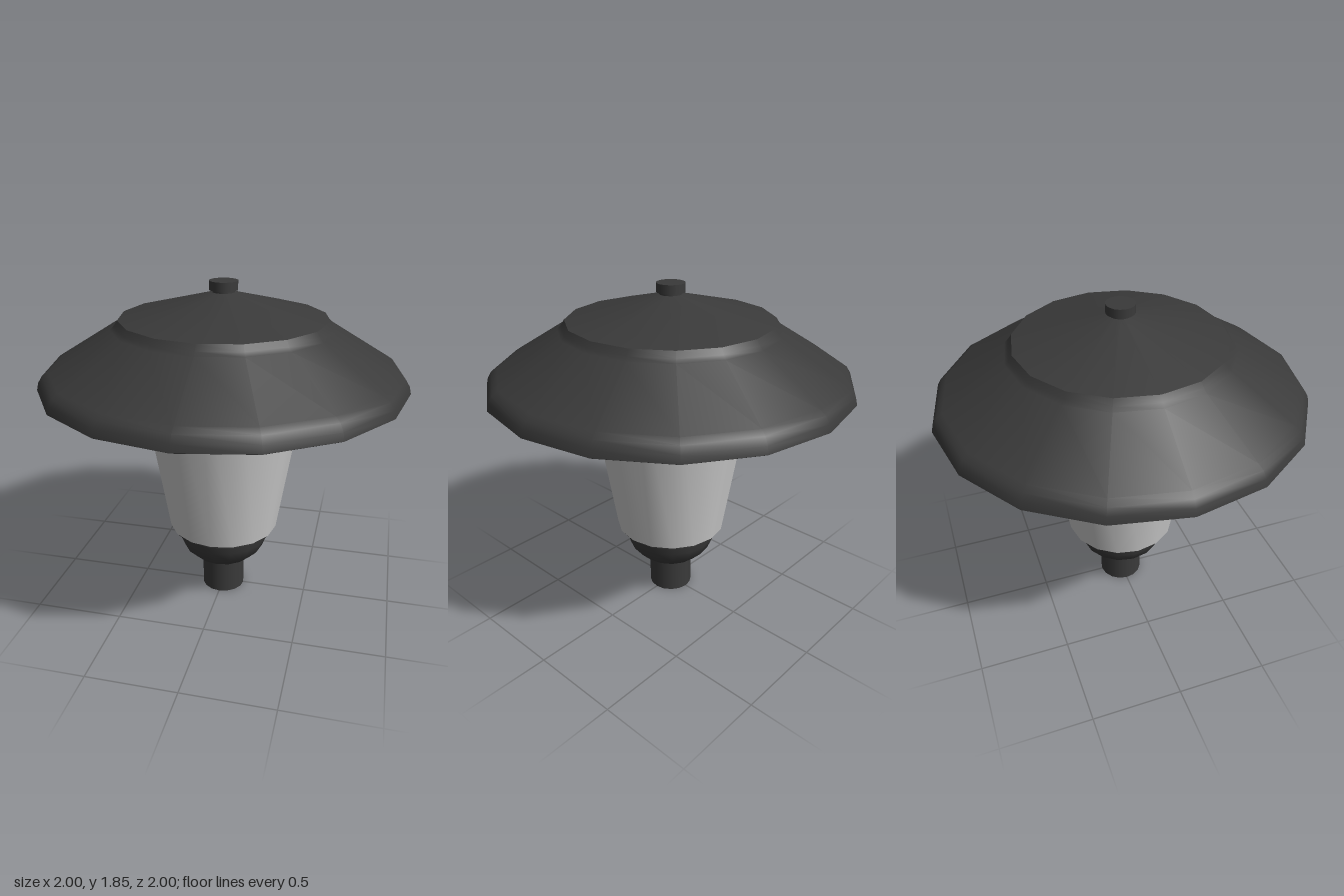
import * as THREE from 'three';

const SIDES = 16;

function makeMaterial(name, color, side = THREE.FrontSide) {
  const m = new THREE.MeshStandardMaterial({ color, side });
  m.name = name;
  return m;
}

export function createModel() {
  const lamp = new THREE.Group();
  lamp.name = 'lampHead';
  const metal = makeMaterial('darkMetal', 0x3a3a3a);
  const glass = makeMaterial('frostedGlass', 0xcccccc, THREE.DoubleSide);
  const white = makeMaterial('whiteLining', 0xdedede);

  // Spins a profile of [radius, height] points; runs upward for an outer skin
  function turn(name, profile, material) {
    const points = profile.map(([r, y]) => new THREE.Vector2(r, y));
    const mesh = new THREE.Mesh(new THREE.LatheGeometry(points, SIDES), material);
    mesh.name = name;
    lamp.add(mesh);
  }

  function disc(name, radius, y0, y1, material) {
    const mesh = new THREE.Mesh(new THREE.CylinderGeometry(radius, radius, y1 - y0, SIDES), material);
    mesh.position.y = (y0 + y1) / 2;
    mesh.name = name;
    lamp.add(mesh);
  }

  // Mounting socket, bowl and glass seat
  disc('socket', 0.125, 0, 0.21, metal);
  turn('bowl', [[0, 0.2], [0.125, 0.2], [0.18, 0.225], [0.235, 0.28], [0.262, 0.345], [0.272, 0.415]], metal);
  disc('glassSeat', 0.305, 0.412, 0.425, metal);

  // Tapered glass with a closed bottom
  turn('glassBody', [[0.315, 0.425], [0.508, 1.62]], glass);
  turn('glassFloor', [[0, 0.427], [0.315, 0.427]], glass);

  // Wide shade, lined underneath
  const shade = [[1, 1.305], [0.99, 1.345], [0.968, 1.38], [0.935, 1.402], [0.6, 1.61], [0.58, 1.63], [0.56, 1.66]];
  turn('shade', shade, metal);
  turn('shadeLining', shade.map(([r, y]) => [r - 0.005, y - 0.003]).reverse(), white);
  turn('shadeRim', [[0.995, 1.302], [1, 1.305]], metal);

  // Shallow cap and its underside
  turn('cap', [[0.56, 1.66], [0.05, 1.793], [0, 1.793]], metal);
  turn('capLining', [[0, 1.785], [0.05, 1.785], [0.556, 1.656]], white);

  // Top knob
  disc('knobNeck', 0.06, 1.785, 1.805, metal);
  disc('knob', 0.077, 1.802, 1.85, metal);

  return lamp;
}
